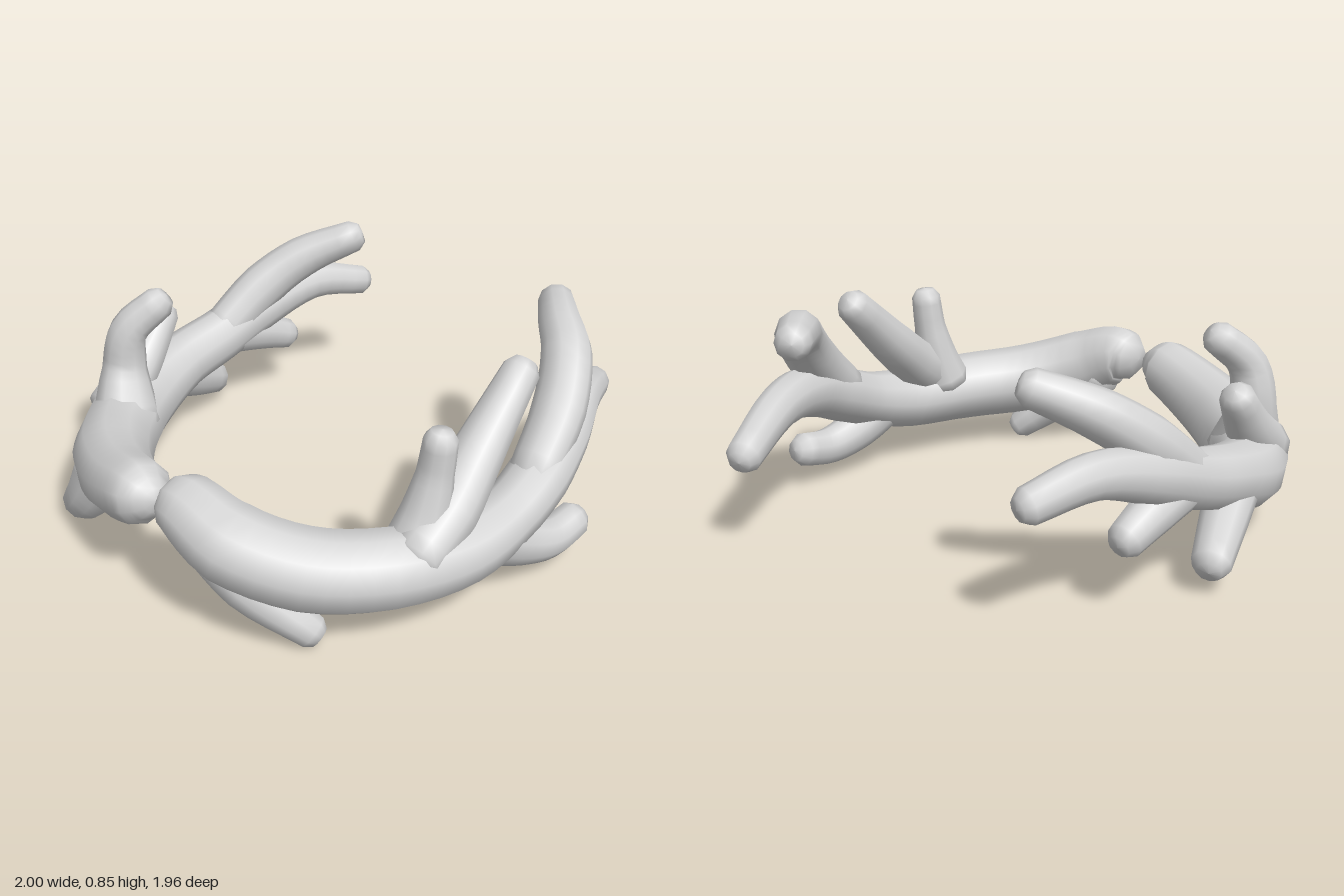
import * as THREE from 'three';

const horn = new THREE.MeshStandardMaterial({ color: 0xd4d4d4 });
horn.name = 'pale grey horn';

const SIDES = 10;

// Round limb swept along [x, y, z, radius] points, with a blunt domed tip at both ends
function limb(name, points) {
  const curve = new THREE.CatmullRomCurve3(points.map(p => new THREE.Vector3(p[0], p[1], p[2])));
  const spans = points.length - 1;
  const steps = spans * 4;
  const radiusAt = t => {
    const i = Math.min(Math.floor(t * spans), spans - 1);
    return THREE.MathUtils.lerp(points[i][3], points[i + 1][3], t * spans - i);
  };

  // Rings: [curve parameter, offset along the tangent, radius]
  const r0 = radiusAt(0), r1 = radiusAt(1);
  const rings = [[0, -0.4 * r0, 0], [0, -0.36 * r0, 0.6 * r0]];
  for (let i = 0; i <= steps; i++) rings.push([i / steps, 0, radiusAt(i / steps)]);
  rings.push([1, 0.5 * r1, 0.65 * r1], [1, 0.6 * r1, 0]);

  const positions = [], index = [];
  const normal = new THREE.Vector3(0, 1, 0.01);
  rings.forEach(([t, offset, radius], i) => {
    const tangent = curve.getTangent(t);
    const centre = curve.getPoint(t).addScaledVector(tangent, offset);
    normal.addScaledVector(tangent, -normal.dot(tangent)).normalize();
    const side = tangent.clone().cross(normal);
    for (let j = 0; j < SIDES; j++) {
      const a = (j / SIDES) * Math.PI * 2;
      const v = centre.clone()
        .addScaledVector(normal, Math.cos(a) * radius)
        .addScaledVector(side, Math.sin(a) * radius);
      positions.push(v.x, v.y, v.z);
      if (i === rings.length - 1) continue;
      const p = i * SIDES + j, q = i * SIDES + (j + 1) % SIDES;
      index.push(p, q, p + SIDES, q, q + SIDES, p + SIDES);
    }
  });

  const geometry = new THREE.BufferGeometry();
  geometry.setAttribute('position', new THREE.Float32BufferAttribute(positions, 3));
  geometry.setIndex(index);
  geometry.computeVertexNormals();
  const mesh = new THREE.Mesh(geometry, horn);
  mesh.name = name;
  return mesh;
}

// Antler on the +x side
const leftAntler = {
  beam: [
    [0.06, 0.44, 0.84, 0.1], [0.13, 0.445, 0.84, 0.125], [0.3, 0.375, 0.82, 0.15],
    [0.52, 0.305, 0.69, 0.15], [0.71, 0.285, 0.48, 0.145], [0.82, 0.28, 0.22, 0.13],
    [0.855, 0.325, 0, 0.113], [0.85, 0.4, -0.2, 0.115], [0.81, 0.47, -0.4, 0.105],
    [0.72, 0.485, -0.65, 0.083], [0.61, 0.395, -0.94, 0.067]],
  upperBranch: [
    [0.85, 0.41, -0.15, 0.09], [0.81, 0.59, -0.36, 0.1], [0.73, 0.73, -0.51, 0.095],
    [0.63, 0.785, -0.61, 0.082], [0.51, 0.795, -0.76, 0.068]],
  risingTine: [
    [0.78, 0.33, 0.42, 0.1], [0.775, 0.43, 0.24, 0.108], [0.75, 0.57, 0.05, 0.095],
    [0.74, 0.79, -0.2, 0.069]],
  shortTine: [
    [0.73, 0.34, 0.36, 0.11], [0.74, 0.46, 0.32, 0.088], [0.75, 0.6, 0.29, 0.066],
    [0.76, 0.73, 0.28, 0.06]],
  lowerTine: [
    [0.85, 0.3, 0.13, 0.1], [0.88, 0.2, -0.05, 0.088], [0.915, 0.155, -0.2, 0.076],
    [0.93, 0.175, -0.335, 0.07]],
  browTine: [
    [0.22, 0.37, 0.83, 0.12], [0.37, 0.235, 0.81, 0.1], [0.565, 0.068, 0.7, 0.063]]
};

// Antler on the -x side
const rightAntler = {
  beam: [
    [-0.035, 0.43, 0.87, 0.075], [-0.1, 0.42, 0.86, 0.12], [-0.3, 0.355, 0.79, 0.138],
    [-0.52, 0.3, 0.65, 0.155], [-0.7, 0.275, 0.45, 0.158], [-0.81, 0.295, 0.22, 0.142],
    [-0.838, 0.35, 0, 0.12], [-0.818, 0.4, -0.2, 0.113], [-0.785, 0.475, -0.42, 0.104],
    [-0.71, 0.535, -0.68, 0.08], [-0.62, 0.49, -0.91, 0.065]],
  upperBranch: [
    [-0.82, 0.41, -0.2, 0.09], [-0.76, 0.58, -0.41, 0.098], [-0.66, 0.7, -0.56, 0.088],
    [-0.49, 0.8, -0.71, 0.067]],
  risingTine: [
    [-0.77, 0.32, 0.44, 0.11], [-0.805, 0.45, 0.25, 0.09], [-0.82, 0.615, 0.1, 0.065]],
  shortTine: [
    [-0.69, 0.3, 0.44, 0.14], [-0.75, 0.5, 0.38, 0.09], [-0.73, 0.66, 0.36, 0.076],
    [-0.65, 0.775, 0.26, 0.065]],
  lowerTine: [
    [-0.83, 0.33, 0.12, 0.1], [-0.88, 0.22, -0.08, 0.088], [-0.93, 0.13, -0.26, 0.072]],
  rearTine: [
    [-0.81, 0.41, -0.22, 0.095], [-0.79, 0.35, -0.42, 0.083], [-0.77, 0.29, -0.57, 0.067]],
  browTine: [
    [-0.49, 0.28, 0.7, 0.135], [-0.57, 0.15, 0.735, 0.1], [-0.645, 0.078, 0.735, 0.075]]
};

export function createModel() {
  const model = new THREE.Group();
  model.name = 'antlerWreath';
  for (const [name, parts] of Object.entries({ leftAntler, rightAntler })) {
    const antler = new THREE.Group();
    antler.name = name;
    for (const [part, points] of Object.entries(parts)) antler.add(limb(part, points));
    model.add(antler);
  }
  // Stand on y = 0
  const box = new THREE.Box3().setFromObject(model, true);
  model.children.forEach(antler => { antler.position.y = -box.min.y; });
  return model;
}
